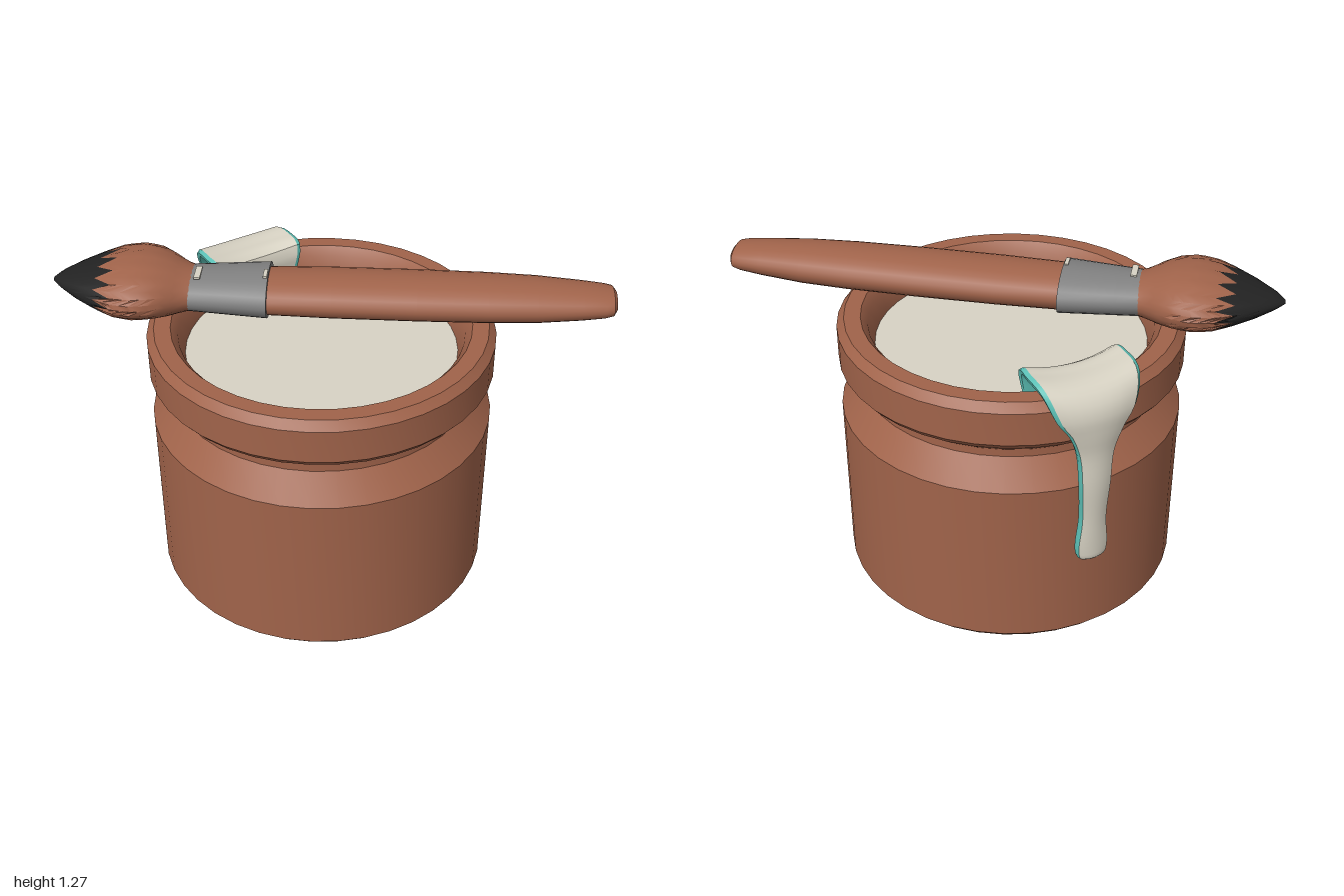
import * as THREE from 'three';
import { toCreasedNormals } from 'three/addons/utils/BufferGeometryUtils.js';

const material = (name, color) => {
  const m = new THREE.MeshStandardMaterial({ color });
  m.name = name;
  return m;
};

// Surface from a grid of points: point(i, j) returns [x, y, z]
function gridSurface(rows, cols, point, closed) {
  const pos = [], idx = [], n = closed ? cols : cols + 1;
  for (let i = 0; i <= rows; i++) for (let j = 0; j < n; j++) pos.push(...point(i, j));
  for (let i = 0; i < rows; i++) for (let j = 0; j < cols; j++) {
    const a = i * n + j, b = i * n + (j + 1) % n;
    idx.push(a, b, a + n, b, b + n, a + n);
  }
  const g = new THREE.BufferGeometry();
  g.setAttribute('position', new THREE.Float32BufferAttribute(pos, 3));
  g.setIndex(idx);
  return toCreasedNormals(g, 0.6);
}

// Oval ring point at angle step j; s = [x, centreY, radiusY, radiusZ]
const ringPoint = ([x, cy, ry, rz], j, sides) => {
  const a = j / sides * Math.PI * 2;
  return [x, cy + ry * Math.cos(a), rz * Math.sin(a)];
};
const ovalLoft = (stations, sides) =>
  gridSurface(stations.length - 1, sides, (i, j) => ringPoint(stations[i], j, sides), true);

// Interpolates a station table at x
function stationAt(table, x) {
  let k = 0;
  while (k < table.length - 2 && x > table[k + 1][0]) k++;
  const a = table[k], b = table[k + 1];
  const t = THREE.MathUtils.clamp((x - a[0]) / (b[0] - a[0]), 0, 1);
  return a.map((v, n) => v + (b[n] - v) * t);
}

export function createModel() {
  const model = new THREE.Group();
  const clay = material('terracotta', 0xa0634a);
  const cream = material('cream paint', 0xd8d3c4);
  const teal = material('teal edge', 0x5cc0b6);
  const steel = material('grey metal', 0x808080);
  const black = material('black bristle', 0x222222);

  const add = (name, geometry, mat, parent = model) => {
    const mesh = new THREE.Mesh(geometry, mat);
    mesh.name = name;
    parent.add(mesh);
    return mesh;
  };

  // Pot with a groove under a thick rim
  const pot = new THREE.Group();
  pot.name = 'pot';
  pot.position.x = -0.04;
  model.add(pot);
  const profile = [
    [0, 0], [0.605, 0], [0.632, 0.03], [0.632, 0.675], [0.555, 0.775], [0.555, 0.805],
    [0.612, 0.85], [0.632, 0.875], [0.632, 1.0], [0.605, 1.03], [0.545, 1.03],
    [0.52, 1.0], [0.495, 0.91], [0.495, 0.88],
  ].map(([x, y]) => new THREE.Vector2(x, y));
  add('potBody', toCreasedNormals(new THREE.LatheGeometry(profile, 40), 0.5), clay, pot);

  // Paint filling the pot
  const fill = new THREE.CircleGeometry(0.5, 40);
  fill.rotateX(-Math.PI / 2);
  add('paintFill', fill, cream, pot).position.y = 0.92;

  // Paint drip over the rim: curve of (radius, height, half width)
  const drip = new THREE.CatmullRomCurve3([
    [0.47, 0.95, 0.16], [0.49, 1.03, 0.185], [0.54, 1.035, 0.19], [0.61, 1.03, 0.185],
    [0.645, 0.99, 0.16], [0.65, 0.92, 0.105], [0.645, 0.83, 0.07], [0.65, 0.7, 0.058],
    [0.645, 0.55, 0.05], [0.645, 0.43, 0.06], [0.645, 0.385, 0.05], [0.645, 0.365, 0.004],
  ].map(p => new THREE.Vector3(...p)));
  const rows = 44;
  const dripPoint = (i, side, off) => {
    const u = i / rows, p = drip.getPoint(u), t = drip.getTangent(u);
    const len = Math.hypot(t.x, t.y) || 1;
    const taper = Math.min(1, u * 10, Math.sqrt(Math.max(0, (1 - u) * 10)));
    const thick = 0.045 * taper * off;
    const w = p.z * side;
    const r0 = p.x - t.y / len * thick;
    const r = Math.sqrt(r0 * r0 - w * w * 0.8);
    const lift = 0.03 * side * side * THREE.MathUtils.smoothstep(p.y, 0.96, 1.03);
    return [-0.59 * r - 0.8 * w, p.y + t.x / len * thick + lift, -0.8 * r + 0.59 * w];
  };
  add('paintDrip', gridSurface(rows, 8, (i, j) => {
    const s = 1 - j / 4;
    return dripPoint(i, s * 0.92, 0.75 + 0.25 * (1 - s * s));
  }), cream, pot);
  const under = [[-0.92, 0.75], [-1, 0.5], [-0.97, 0.15], [-0.8, 0], [0, 0],
    [0.8, 0], [0.97, 0.15], [1, 0.5], [0.92, 0.75]];
  add('dripEdge', gridSurface(rows, 8, (i, j) => dripPoint(i, ...under[j])), teal, pot);

  // Brush lying across the rim
  const brush = new THREE.Group();
  brush.name = 'brush';
  model.add(brush);
  add('handle', ovalLoft([
    [-0.24, 1.147, 0.07, 0.123], [0, 1.147, 0.073, 0.13], [0.3, 1.147, 0.074, 0.13],
    [0.55, 1.147, 0.073, 0.125], [0.72, 1.147, 0.069, 0.116], [0.88, 1.148, 0.057, 0.1],
    [0.96, 1.149, 0.048, 0.09], [0.988, 1.15, 0.042, 0.08], [1, 1.15, 0.028, 0.055], [1, 1.15, 0, 0],
  ], 24), clay, brush);
  add('ferrule', ovalLoft([
    [-0.51, 1.15, 0, 0], [-0.51, 1.15, 0.07, 0.115], [-0.42, 1.15, 0.073, 0.125],
    [-0.225, 1.15, 0.08, 0.145], [-0.225, 1.15, 0.06, 0.11],
  ], 24), steel, brush);

  // Paint specks on the ferrule
  [[-0.475, 0.02, 0.022, 0.08, 1.221], [-0.235, 0.025, 0.014, 0.05, 1.229]].forEach(([x, z, w, d, y]) =>
    add('paintSpeck', new THREE.BoxGeometry(w, 0.008, d).translate(x, y, z), cream, brush));

  // Bristles, with a dark tip meeting the base in a zigzag
  const bristle = [
    [-1, 1.168, 0.004, 0.012], [-0.97, 1.17, 0.022, 0.05], [-0.9, 1.17, 0.048, 0.115],
    [-0.82, 1.17, 0.074, 0.172], [-0.76, 1.17, 0.092, 0.203], [-0.69, 1.17, 0.1, 0.215],
    [-0.63, 1.168, 0.097, 0.2], [-0.57, 1.16, 0.088, 0.16], [-0.53, 1.153, 0.076, 0.125],
    [-0.49, 1.15, 0.068, 0.11],
  ];
  const sides = 32, steps = 10;
  const zigzag = j => (j % 2 ? -0.83 : -0.765);
  const bristlePart = (from, to) => gridSurface(steps, sides, (i, j) => {
    const x = THREE.MathUtils.lerp(from(j), to(j), i / steps);
    return ringPoint(stationAt(bristle, x), j, sides);
  }, true);
  add('bristleTip', bristlePart(() => -1, zigzag), black, brush);
  add('bristleBase', bristlePart(zigzag, () => -0.49), clay, brush);

  return model;
}
